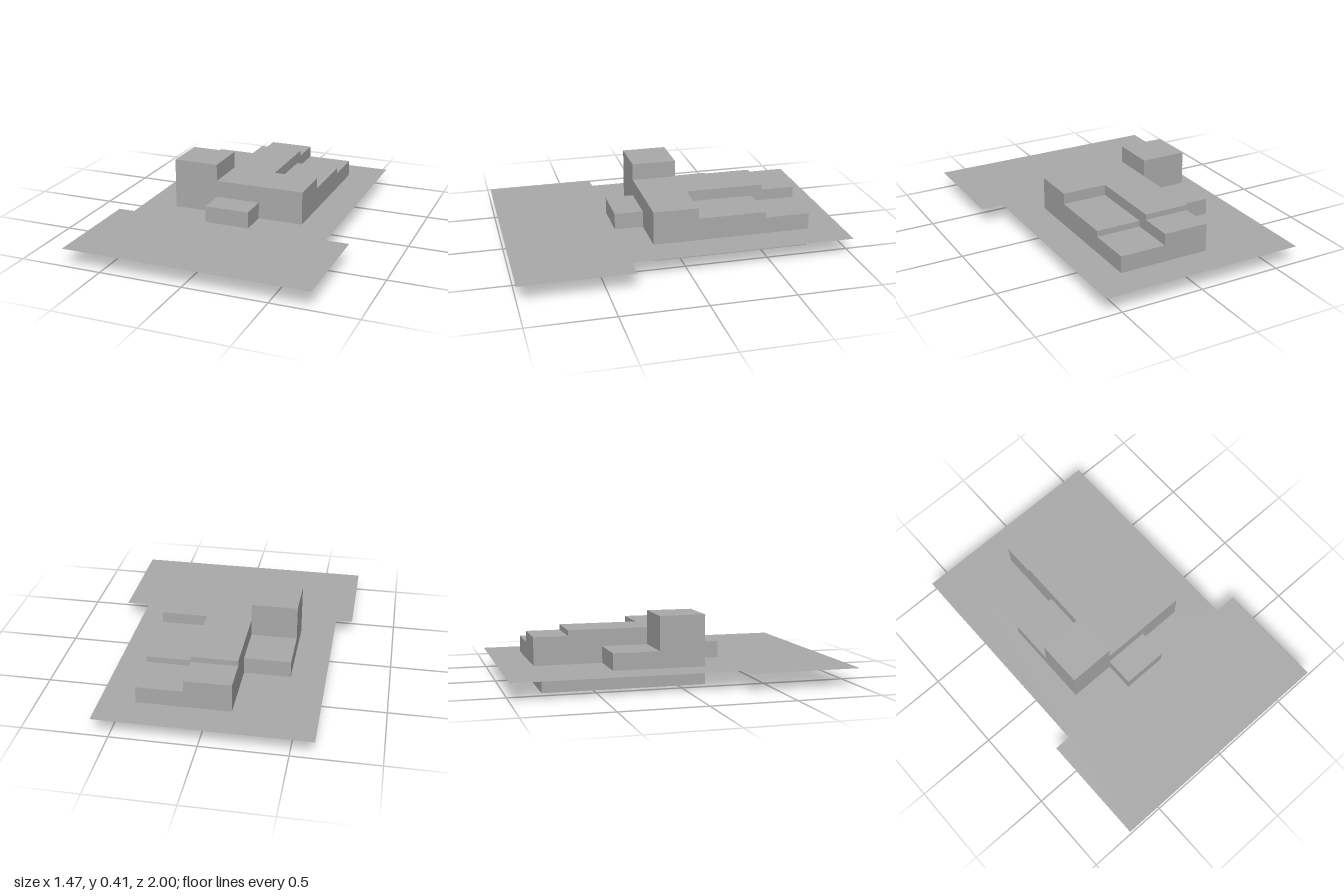
import * as THREE from 'three';

const GROUND = 0.106;

export function createModel() {
  const group = new THREE.Group();
  group.name = 'houseMassing';
  const grey = new THREE.MeshStandardMaterial({ color: 0xaaaaaa });
  grey.name = 'plain grey';
  const greySheet = new THREE.MeshStandardMaterial({ color: 0xaaaaaa, side: THREE.DoubleSide });
  greySheet.name = 'plain grey sheet';

  // Box given by its extents
  function block(name, x0, x1, z0, z1, top, bottom = GROUND) {
    const geo = new THREE.BoxGeometry(x1 - x0, top - bottom, z1 - z0);
    geo.translate((x0 + x1) / 2, (top + bottom) / 2, (z0 + z1) / 2);
    const mesh = new THREE.Mesh(geo, grey);
    mesh.name = name;
    group.add(mesh);
  }

  // Grid lines shared by the wings
  const xa = -0.43, xb = -0.155, xc = 0.117, xd = 0.391;
  const back = -0.795, mid = -0.11, front = 0.162;

  // Paper-thin plot with a wider front, open over the basement
  const points = (list) => list.map(([x, z]) => new THREE.Vector2(x, -z));
  const plot = new THREE.Shape(points([
    [-0.735, 1], [0.735, 1], [0.735, 0.335], [0.597, 0.335],
    [0.597, -1], [-0.635, -1], [-0.635, 0.335], [-0.735, 0.335],
  ]));
  plot.holes.push(new THREE.Path(points([[xa, back], [xd, back], [xd, front], [xa, front]])));
  const plotGeo = new THREE.ShapeGeometry(plot);
  plotGeo.rotateX(-Math.PI / 2);
  plotGeo.translate(0, GROUND, 0);
  const plotMesh = new THREE.Mesh(plotGeo, greySheet);
  plotMesh.name = 'plot';
  group.add(plotMesh);

  // Basement below the plot
  block('basement', xa, xd, back, front, GROUND, 0);

  // House volumes above the plot
  block('tower', xa, xb, mid, front, 0.41);
  block('frontWing', xb, xd, mid, front, 0.308);
  block('middleWing', xb, xc, -0.59, mid, 0.308);
  block('middleWingBack', xb, xc, back, -0.59, 0.275);
  block('sideWing', xc, xd, -0.523, mid, 0.242);
  block('sideWingBack', xc, xd, back, -0.523, 0.206);
  block('lowAnnex', xa, xb, -0.386, mid, 0.206);
  block('porch', xb, xc, front, 0.335, 0.206);

  return group;
}
